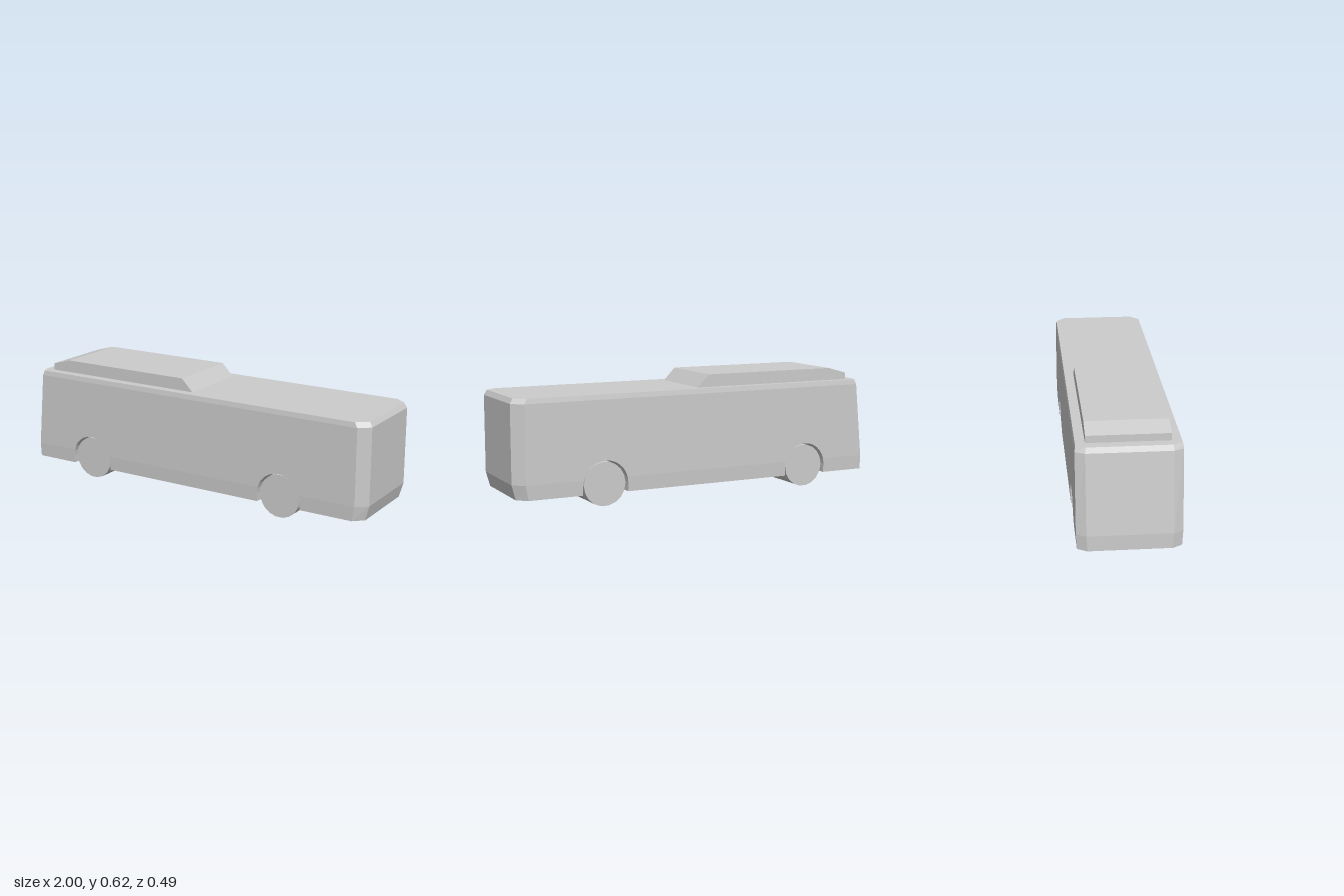
import * as THREE from 'three';

const material = new THREE.MeshStandardMaterial({ color: 0xcccccc, flatShading: true });
const AXLES = [-0.615, 0.532];
const AXLE_Y = 0.11, ARCH_R = 0.12;
const ROWS = [0.065, 0.14, 0.53, 0.555]; // sill, lower bend, upper bend, roof edge

// Half width at a height: the sides tuck in slightly at sill and roof
function halfWidth(y) {
  const tuck = Math.max(0, (ROWS[1] - y) / 0.075, (y - ROWS[2]) / 0.025);
  return 0.246 - 0.004 * tuck;
}

// One cross-section: four points up the left side, four back down the right
function section(xs, bottom = ROWS[0], inset = 0) {
  const side = ROWS.map((row, i) => {
    const y = i === 0 ? bottom : Math.max(row, bottom);
    return new THREE.Vector3(xs[i], y, halfWidth(y) - inset);
  });
  const other = side.map((p) => new THREE.Vector3(p.x, p.y, -p.z)).reverse();
  return [...side, ...other];
}

function bodyGeometry() {
  const sections = [
    section([-1, -1, -0.957, -0.945], ROWS[0], 0.046),
    section([-0.972, -0.972, -0.935, -0.925]),
  ];
  // Wheel arches cut right across the underside
  for (const cx of AXLES) {
    const add = (x, y) => sections.push(section([x, x, x, x], y));
    add(cx - ARCH_R, ROWS[0]);
    for (let i = 0; i <= 14; i++) {
      const a = Math.PI * (1 - i / 14);
      add(cx + ARCH_R * Math.cos(a), AXLE_Y + ARCH_R * Math.sin(a));
    }
    add(cx + ARCH_R, ROWS[0]);
  }
  sections.push(
    section([0.93, 0.945, 0.945, 0.93]),
    section([0.98, 1, 1, 0.985], ROWS[0], 0.046),
  );

  const positions = [];
  const tri = (a, b, c) => {
    if (new THREE.Triangle(a, b, c).getArea() < 1e-8) return;
    for (const p of [a, b, c]) positions.push(p.x, p.y, p.z);
  };
  const quad = (a, b, c, d) => { tri(a, b, c); tri(a, c, d); };

  // Skin between neighbouring sections
  for (let i = 0; i < sections.length - 1; i++) {
    const s = sections[i], t = sections[i + 1];
    for (let j = 0; j < 8; j++) {
      const k = (j + 1) % 8;
      quad(s[j], t[j], t[k], s[k]);
    }
  }
  // End panels
  const first = sections[0], last = sections[sections.length - 1];
  for (let k = 0; k < 3; k++) {
    quad(last[k], last[7 - k], last[6 - k], last[k + 1]);
    quad(first[7 - k], first[k], first[k + 1], first[6 - k]);
  }

  const geometry = new THREE.BufferGeometry();
  geometry.setAttribute('position', new THREE.Float32BufferAttribute(positions, 3));
  geometry.computeVertexNormals();
  return geometry;
}

// Roof pod: side profile extruded across the roof
function roofPodGeometry() {
  const profile = [[-0.895, 0.55], [0.004, 0.55], [0, 0.555], [-0.062, 0.619], [-0.79, 0.619], [-0.895, 0.59]];
  const shape = new THREE.Shape(profile.map(([x, y]) => new THREE.Vector2(x, y)));
  return new THREE.ExtrudeGeometry(shape, { depth: 0.392, bevelEnabled: false }).translate(0, 0, -0.196);
}

export function createModel() {
  const group = new THREE.Group();
  group.name = 'bus';
  const add = (name, geometry) => {
    const mesh = new THREE.Mesh(geometry, material);
    mesh.name = name;
    group.add(mesh);
    return mesh;
  };

  add('body', bodyGeometry());
  add('roofPod', roofPodGeometry());

  // Each wheel pair is one full-width roller
  const wheel = new THREE.CylinderGeometry(0.111, 0.111, 0.46, 18)
    .rotateY(Math.PI / 18)
    .rotateX(Math.PI / 2);
  AXLES.forEach((x, i) => {
    add(i === 0 ? 'frontWheels' : 'rearWheels', wheel).position.set(x, AXLE_Y, 0);
  });
  return group;
}
